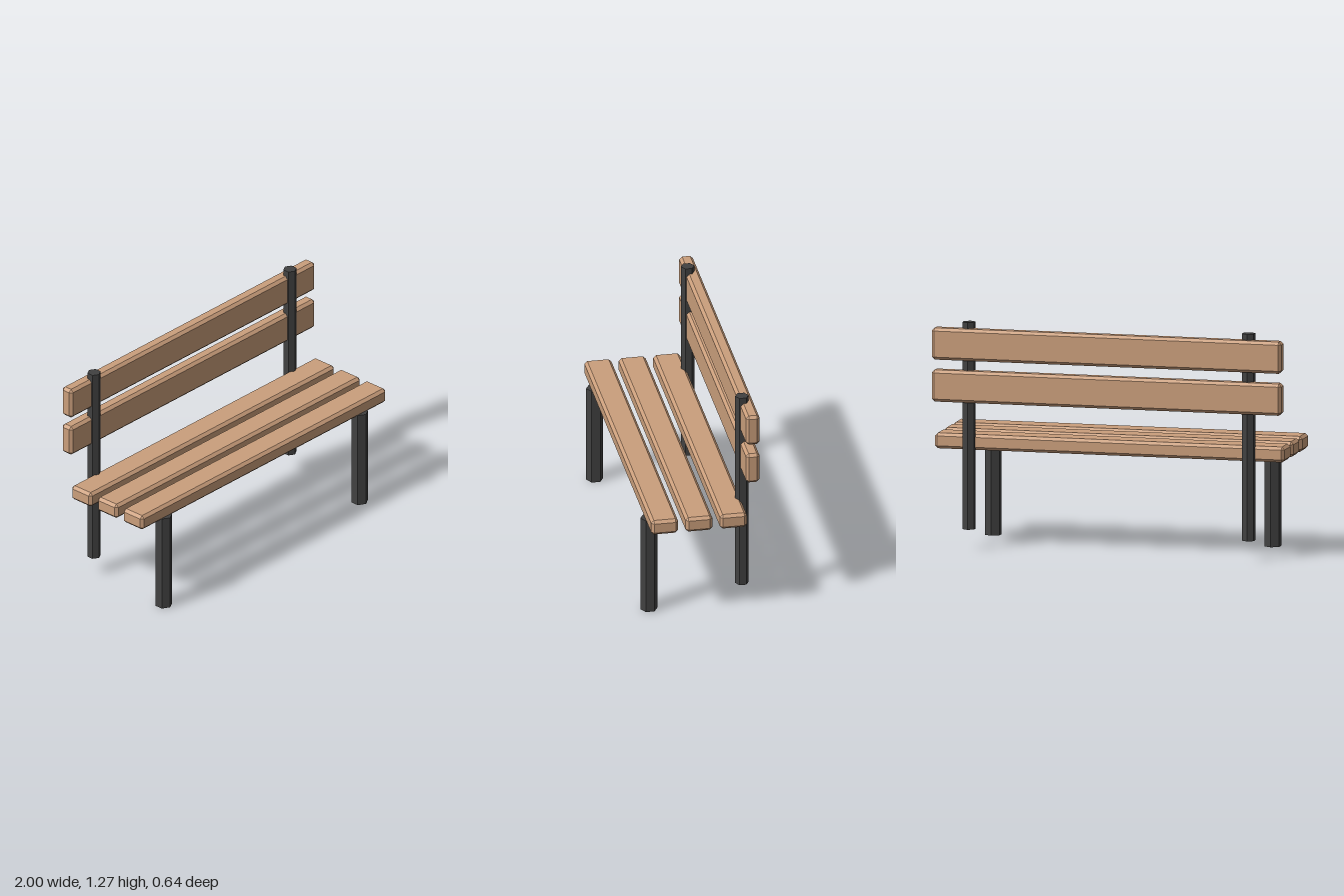
import * as THREE from 'three';
import { ConvexGeometry } from 'three/addons/geometries/ConvexGeometry.js';

// Box with every edge cut by a flat chamfer c
function chamferedBox(w, h, d, c) {
  const points = [];
  for (const sx of [-1, 1]) for (const sy of [-1, 1]) for (const sz of [-1, 1]) {
    const x = w / 2, y = h / 2, z = d / 2;
    points.push(
      new THREE.Vector3(sx * x, sy * (y - c), sz * (z - c)),
      new THREE.Vector3(sx * (x - c), sy * y, sz * (z - c)),
      new THREE.Vector3(sx * (x - c), sy * (y - c), sz * z)
    );
  }
  return new ConvexGeometry(points);
}

export function createModel() {
  const bench = new THREE.Group();
  bench.name = 'bench';

  const wood = new THREE.MeshStandardMaterial({ color: 0xcb9f7c });
  wood.name = 'wood';
  const metal = new THREE.MeshStandardMaterial({ color: 0x414141 });
  metal.name = 'darkMetal';

  const add = (name, geometry, material, x, y, z) => {
    const mesh = new THREE.Mesh(geometry, material);
    mesh.name = name;
    mesh.position.set(x, y, z);
    bench.add(mesh);
  };

  // Three seat planks
  const seatPlank = chamferedBox(2, 0.087, 0.152, 0.016);
  [0.217, 0.024, -0.17].forEach((z, i) => add(`seatPlank${i + 1}`, seatPlank, wood, 0, 0.596, z));

  // Two backrest planks
  const backPlank = chamferedBox(2, 0.178, 0.077, 0.016);
  [0.914, 1.149].forEach((y, i) => add(`backPlank${i + 1}`, backPlank, wood, 0, y, -0.279));

  // Hexagonal front legs and taller, thinner rear posts
  const hexPost = (r, h) => new THREE.CylinderGeometry(r, r, h, 6).toNonIndexed();
  const frontLeg = hexPost(0.048, 0.566);
  const rearPost = hexPost(0.038, 1.16);
  for (const g of [frontLeg, rearPost]) g.computeVertexNormals();
  for (const [side, x] of [['left', 0.8], ['right', -0.8]]) {
    add(`${side}FrontLeg`, frontLeg, metal, x, 0.283, 0.271);
    add(`${side}RearPost`, rearPost, metal, x, 0.692, -0.253);
  }
  return bench;
}
